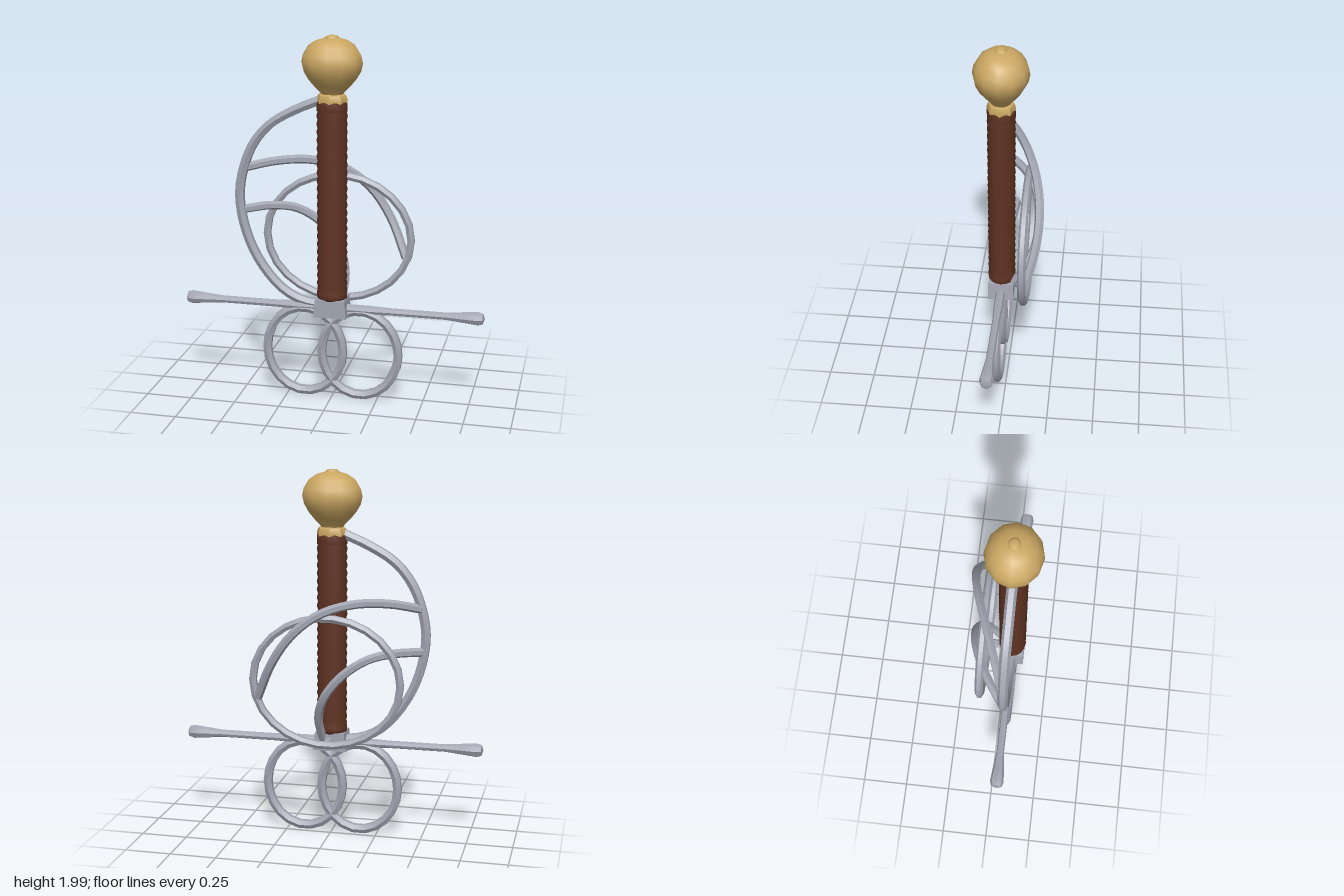
import * as THREE from 'three';
import { toCreasedNormals } from 'three/addons/utils/BufferGeometryUtils.js';

const steel = new THREE.MeshStandardMaterial({ color: 0xa2a6b2 });
steel.name = 'steel';
const brass = new THREE.MeshStandardMaterial({ color: 0xcba763 });
brass.name = 'brass';
const leather = new THREE.MeshStandardMaterial({ color: 0x5f3222 });
leather.name = 'leather';

const AXIS_Z = 0.043; // depth of the grip axis
const DEPTH = 0.9; // grip and pommel are slightly flattened front to back

// Closed ellipse in the xy plane
class Ellipse extends THREE.Curve {
  constructor(cx, cy, cz, rx, ry) {
    super();
    Object.assign(this, { cx, cy, cz, rx, ry });
  }
  getPoint(t, target = new THREE.Vector3()) {
    const a = t * Math.PI * 2;
    return target.set(this.cx + this.rx * Math.cos(a), this.cy + this.ry * Math.sin(a), this.cz);
  }
}

export function createModel() {
  const model = new THREE.Group();
  model.name = 'swordHilt';

  const add = (name, geometry, material) => {
    const mesh = new THREE.Mesh(geometry, material);
    mesh.name = name;
    model.add(mesh);
    return mesh;
  };
  // Six-sided steel bar with crisp long edges
  const bar = (name, curve, segments, radius, closed = false) =>
    add(name, toCreasedNormals(new THREE.TubeGeometry(curve, segments, radius, 6, closed), 0.7), steel);
  const path = (pts) => new THREE.CatmullRomCurve3(pts.map((p) => new THREE.Vector3(...p)));
  const lathe = (pts, sides) => new THREE.LatheGeometry(pts.map((p) => new THREE.Vector2(...p)), sides);
  const onAxis = (mesh) => {
    mesh.position.z = AXIS_Z;
    mesh.scale.z = DEPTH;
    return mesh;
  };

  // Grip: end bands with a wrapped, rippled middle
  const grip = [[0, 0.585], [0.079, 0.585], [0.083, 0.6], [0.083, 0.62], [0.079, 0.63], [0.082, 0.64]];
  const ribs = 22;
  for (let i = 0; i <= ribs * 2; i++) {
    grip.push([i % 2 ? 0.083 : 0.077, 0.65 + (i / (ribs * 2)) * 0.955]);
  }
  grip.push([0.082, 1.612], [0.082, 1.65], [0.077, 1.66], [0, 1.66]);
  onAxis(add('grip', lathe(grip, 16), leather));

  // Collar between grip and pommel
  const collar = lathe([[0, 1.648], [0.081, 1.648], [0.083, 1.672], [0.074, 1.694], [0.058, 1.702], [0, 1.702]], 8);
  onAxis(add('collar', toCreasedNormals(collar, 0.6), brass));

  // Pear-shaped pommel and its button
  const pommel = [[0.056, 1.69], [0.066, 1.71], [0.098, 1.742], [0.13, 1.78], [0.153, 1.82], [0.162, 1.86],
    [0.153, 1.9], [0.125, 1.945], [0.085, 1.972], [0.04, 1.986], [0, 1.988]];
  onAxis(add('pommel', lathe(pommel, 12), brass));
  onAxis(add('pommelButton', lathe([[0.036, 1.98], [0.035, 1.992], [0.022, 1.999], [0, 2]], 10), brass));

  // Tapered cross block
  const block = new THREE.BoxGeometry(0.16, 0.1, 0.136);
  const pos = block.attributes.position;
  for (let i = 0; i < pos.count; i++) {
    if (pos.getY(i) < 0) pos.setX(i, pos.getX(i) * 1.13);
  }
  block.computeVertexNormals();
  add('crossBlock', block, steel).position.set(0, 0.54, AXIS_Z);

  // Cross guard arms with flared tips, and the finger rings below
  const arm = [[0.026, 0], [0.026, 0.2], [0.021, 0.32], [0.021, 0.62], [0.031, 0.72],
    [0.038, 0.79], [0.03, 0.815], [0, 0.825]];
  for (const side of [-1, 1]) {
    const label = side > 0 ? 'left' : 'right';
    const quillon = add(label + 'Quillon', toCreasedNormals(lathe(arm, 8), 0.7), steel);
    quillon.rotation.z = -side * Math.PI / 2;
    quillon.position.set(0, 0.53, AXIS_Z);
    bar(label + 'FingerRing', new Ellipse(side * 0.153, 0.277, AXIS_Z, 0.212, 0.243), 22, 0.026, true);
  }

  // Knuckle guard from pommel to cross block
  bar('knuckleGuard', path([
    [-0.06, 1.665, AXIS_Z], [-0.2, 1.605, AXIS_Z], [-0.34, 1.52, AXIS_Z], [-0.43, 1.41, AXIS_Z],
    [-0.483, 1.28, AXIS_Z], [-0.507, 1.14, AXIS_Z], [-0.49, 0.99, AXIS_Z], [-0.44, 0.84, AXIS_Z],
    [-0.365, 0.715, AXIS_Z], [-0.27, 0.615, AXIS_Z], [-0.17, 0.563, AXIS_Z], [-0.03, 0.54, AXIS_Z],
  ]), 30, 0.027);

  // Large ring behind the grip and the stub that carries it
  bar('sideRing', new Ellipse(0.003, 0.888, -0.097, 0.4, 0.346), 26, 0.022, true);
  bar('sideRingStub', path([[0, 0.545, 0], [0, 0.545, -0.05], [0, 0.543, -0.1]]), 2, 0.024);

  // Swept branches leaving the knuckle guard
  bar('upperBranch', path([
    [-0.485, 1.28, 0.035], [-0.32, 1.312, -0.025], [-0.14, 1.312, -0.09], [0.03, 1.26, -0.145],
    [0.17, 1.15, -0.172], [0.28, 0.995, -0.16], [0.375, 0.79, -0.105],
  ]), 24, 0.024);
  bar('lowerBranch', path([
    [-0.495, 1.05, 0.035], [-0.36, 1.055, -0.055], [-0.23, 1.03, -0.12], [-0.1, 0.945, -0.15],
    [0.0, 0.82, -0.14], [0.045, 0.69, -0.085], [0.04, 0.55, -0.005],
  ]), 24, 0.024);

  return model;
}
